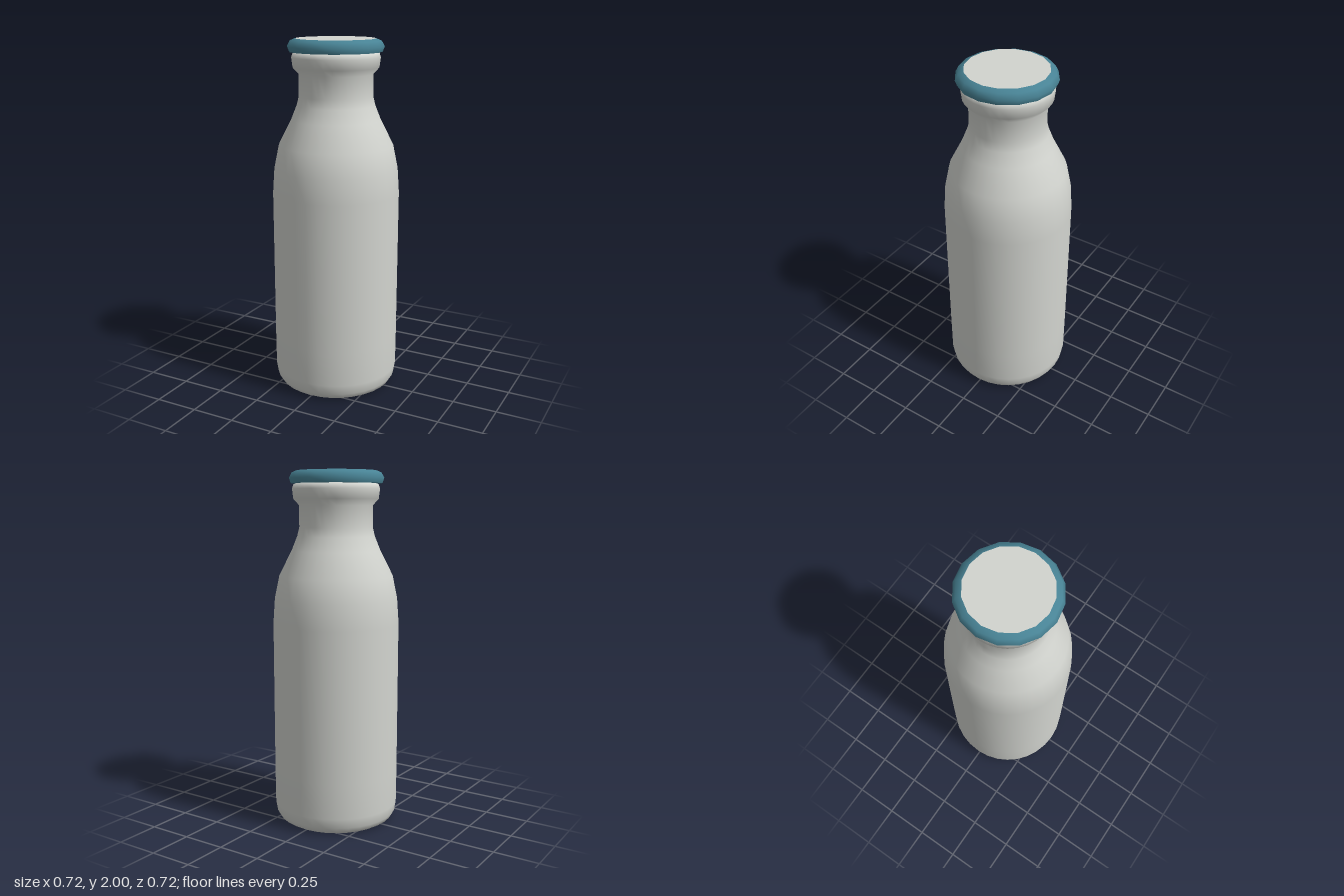
import * as THREE from 'three';

function material(name, color) {
  const m = new THREE.MeshStandardMaterial({ color });
  m.name = name;
  return m;
}

const profile = (pairs) => pairs.map(([r, y]) => new THREE.Vector2(r, y));

export function createModel() {
  const model = new THREE.Group();
  model.name = 'bottle';
  const glass = material('milky white', 0xd2d4cf);
  const teal = material('teal', 0x488395);

  function add(name, geometry, mat, parent = model) {
    const mesh = new THREE.Mesh(geometry, mat);
    mesh.name = name;
    parent.add(mesh);
    return mesh;
  }

  // Bottle wall: rounded foot, straight side, shoulder, neck and lip
  add('bottleBody', new THREE.LatheGeometry(profile([
    [0.305, 0], [0.33, 0.015], [0.348, 0.045], [0.357, 0.1],
    [0.358, 0.3], [0.358, 1.15], [0.348, 1.29], [0.321, 1.42],
    [0.25, 1.56], [0.218, 1.64], [0.206, 1.69], [0.206, 1.81],
    [0.238, 1.845], [0.245, 1.9], [0.237, 1.925], [0.2, 1.94],
  ]), 32), glass);

  // Flat underside
  add('bottleBase', new THREE.CircleGeometry(0.305, 32).rotateX(Math.PI / 2), glass);

  // Cap: bevelled rim, flat underside and pale top disc
  const cap = new THREE.Group();
  cap.name = 'cap';
  cap.position.z = 0.005;
  model.add(cap);
  add('capRim', new THREE.LatheGeometry(profile([
    [0.257, 1.93], [0.267, 1.958], [0.251, 1.988], [0.222, 2],
  ]), 16), teal, cap);
  add('capUnderside', new THREE.CircleGeometry(0.257, 16)
    .rotateX(Math.PI / 2).translate(0, 1.93, 0), teal, cap);
  add('capTop', new THREE.CircleGeometry(0.222, 16)
    .rotateX(-Math.PI / 2).translate(0, 2, 0), glass, cap);

  return model;
}
